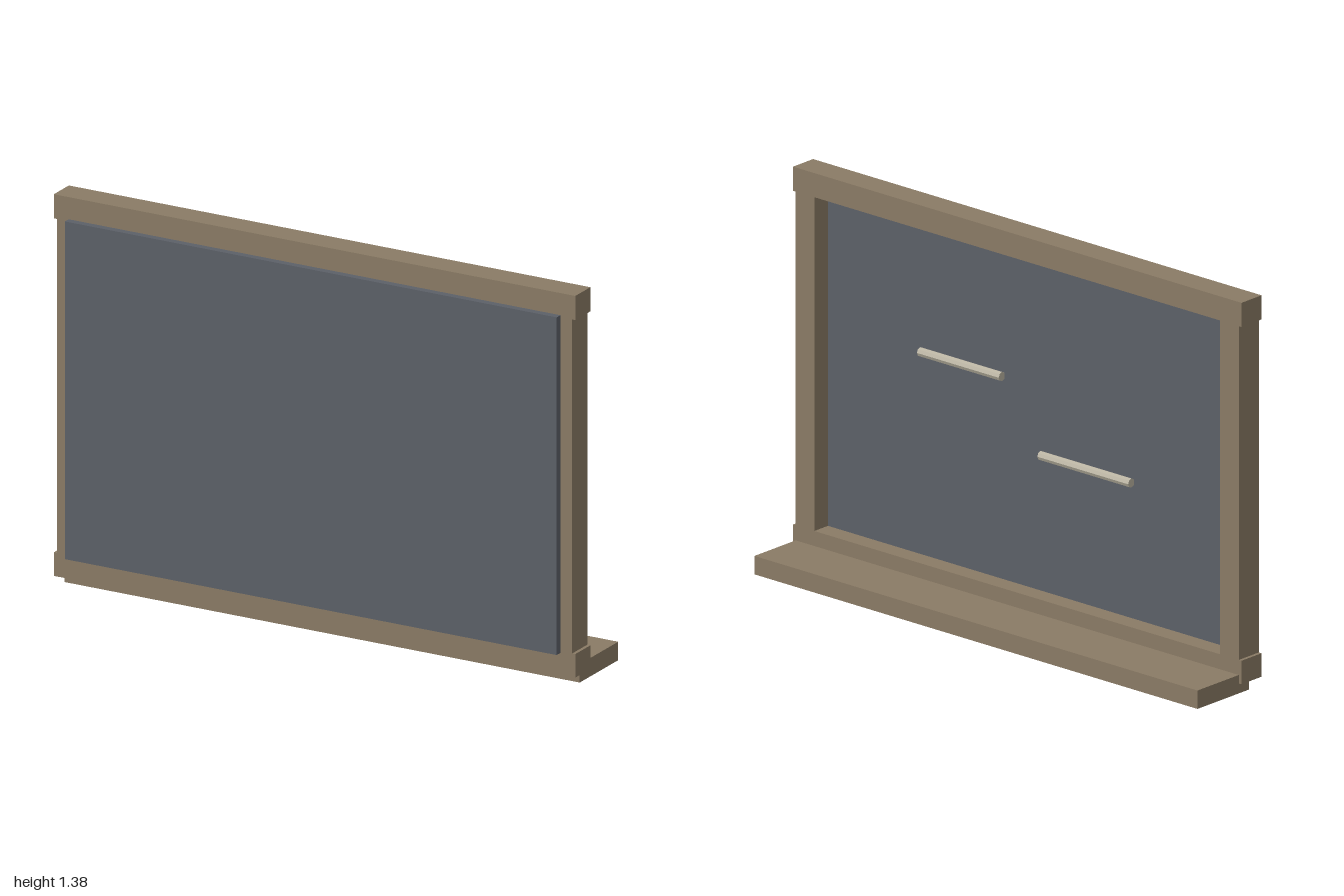
import * as THREE from 'three';

export function createModel() {
  const group = new THREE.Group();
  const wood = new THREE.MeshStandardMaterial({ name: 'wood', color: 0x8a7b65 });
  const slate = new THREE.MeshStandardMaterial({ name: 'slate', color: 0x5c6068 });
  const chalk = new THREE.MeshStandardMaterial({ name: 'chalk', color: 0xb8b2a0 });
  chalk.flatShading = true;

  // Box given by its min and max corners
  function box(name, material, [x0, y0, z0], [x1, y1, z1]) {
    const mesh = new THREE.Mesh(new THREE.BoxGeometry(x1 - x0, y1 - y0, z1 - z0), material);
    mesh.position.set((x0 + x1) / 2, (y0 + y1) / 2, (z0 + z1) / 2);
    mesh.name = name;
    group.add(mesh);
  }

  // Frame: two wide rails with slightly inset posts between them
  const back = 0.04, front = 0.14;
  box('topRail', wood, [-1, 1.295, back], [1, 1.38, front]);
  box('bottomRail', wood, [-1, 0.035, back], [1, 0.118, front]);
  box('leftPost', wood, [0.905, 0.118, back], [0.988, 1.295, front]);
  box('rightPost', wood, [-0.988, 0.118, back], [-0.905, 1.295, front]);

  // Ledge along the back
  box('ledge', wood, [-0.988, 0, -0.165], [0.988, 0.065, 0.09]);

  // Writing panel, proud of the frame in front and recessed behind
  box('panel', slate, [-0.943, 0.112, 0.108], [0.943, 1.302, 0.165]);

  // Two slim sticks on the back of the panel
  const sticks = [['upperStick', 0.3, 0.837, 0.365], ['lowerStick', -0.257, 0.6, 0.405]];
  for (const [name, x, y, length] of sticks) {
    const stick = new THREE.Mesh(new THREE.CylinderGeometry(0.016, 0.016, length, 8), chalk);
    stick.rotation.z = Math.PI / 2;
    stick.position.set(x, y, 0.095);
    stick.name = name;
    group.add(stick);
  }
  return group;
}
